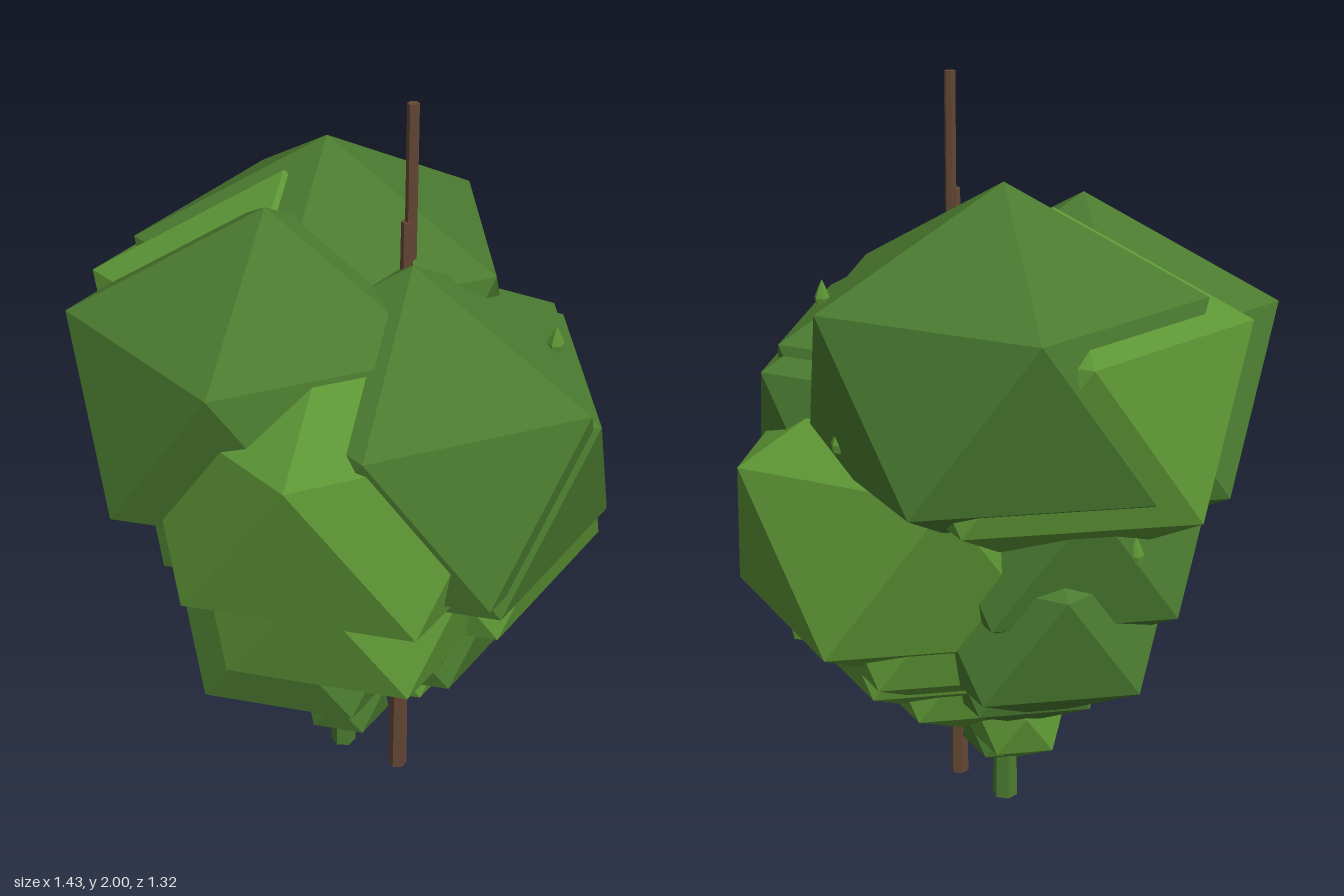
import * as THREE from 'three';

export function createModel() {
  const model = new THREE.Group();
  model.name = 'stakedBush';
  const paint = (name, color) => {
    const m = new THREE.MeshStandardMaterial({ color, flatShading: true });
    m.name = name;
    return m;
  };
  const dark = paint('darkLeafGreen', 0x4a7a2f);
  const light = paint('lightLeafGreen', 0x5c9434);
  const wood = paint('stakeBrown', 0x634735);

  const add = (name, geometry, material, x, y, z) => {
    const mesh = new THREE.Mesh(geometry, material);
    mesh.name = name;
    mesh.position.set(x, y, z);
    model.add(mesh);
    return mesh;
  };

  // Twenty-sided clump with a point on top and a ring corner toward +x, ring radius 1
  const clump = new THREE.IcosahedronGeometry(1 / 0.894, 0);
  clump.rotateX(-Math.atan((1 + Math.sqrt(5)) / 2));
  clump.rotateY(Math.PI / 2);
  clump.scale(1, 0.86, 1);

  // Foliage clumps around the stem: x, y, z, ring radius
  const clumps = (name, material, list) => list.forEach(([x, y, z, r]) => {
    add(name, clump, material, x, y, z).scale.setScalar(r);
  });
  clumps('darkFoliage', dark, [
    [-0.16, 1.31, -0.16, 0.5],
    [-0.14, 1.235, 0.15, 0.5],
    [0.21, 1.12, 0.03, 0.5],
    [0.21, 1.06, -0.03, 0.5],
    [-0.2, 0.9, 0.01, 0.4],
    [-0.21, 0.675, -0.07, 0.34],
    [-0.03, 0.585, 0.16, 0.34],
    [0.16, 0.65, -0.01, 0.34],
    [-0.09, 0.5, -0.02, 0.25],
    [0.02, 0.2, 0.03, 0.12],
  ]);
  clumps('lightFoliage', light, [
    [-0.22, 1.245, -0.05, 0.495],
    [0.125, 0.865, -0.185, 0.5],
    [0.095, 1.085, 0.185, 0.5],
    [0.12, 0.8, 0.18, 0.4],
    [0.03, 0.68, -0.2, 0.34],
    [0.12, 0.58, -0.16, 0.31],
    [0.08, 0.45, -0.07, 0.26],
    [-0.06, 0.26, 0, 0.13],
  ]);

  // Small pointed buds on the foliage
  const bud = new THREE.LatheGeometry([
    [0, -0.03], [0.018, -0.02], [0.022, 0], [0.012, 0.025], [0, 0.05],
  ].map(([r, y]) => new THREE.Vector2(r, y)), 6);
  [
    [0.505, 1.38, -0.175], [0.04, 1.17, -0.53],
    [0.27, 0.58, -0.49], [-0.55, 0.92, -0.1],
  ].forEach(p => add('bud', bud, light, ...p));

  // Short green stem
  add('stem', new THREE.CylinderGeometry(0.03, 0.035, 0.4, 6), dark, -0.01, 0.2, 0);

  // Wooden stake, a thick lower length and a thinner tip
  add('stakeLower', new THREE.CylinderGeometry(0.015, 0.026, 1.7, 6), wood, 0.177, 0.85, 0.005);
  add('stakeTip', new THREE.CylinderGeometry(0.015, 0.015, 0.4, 6), wood, 0.183, 1.8, -0.003);

  // Twig end poking out of the leaves
  add('twigEnd', new THREE.IcosahedronGeometry(0.018, 0), wood, 0.41, 0.6, 0.2);

  return model;
}
